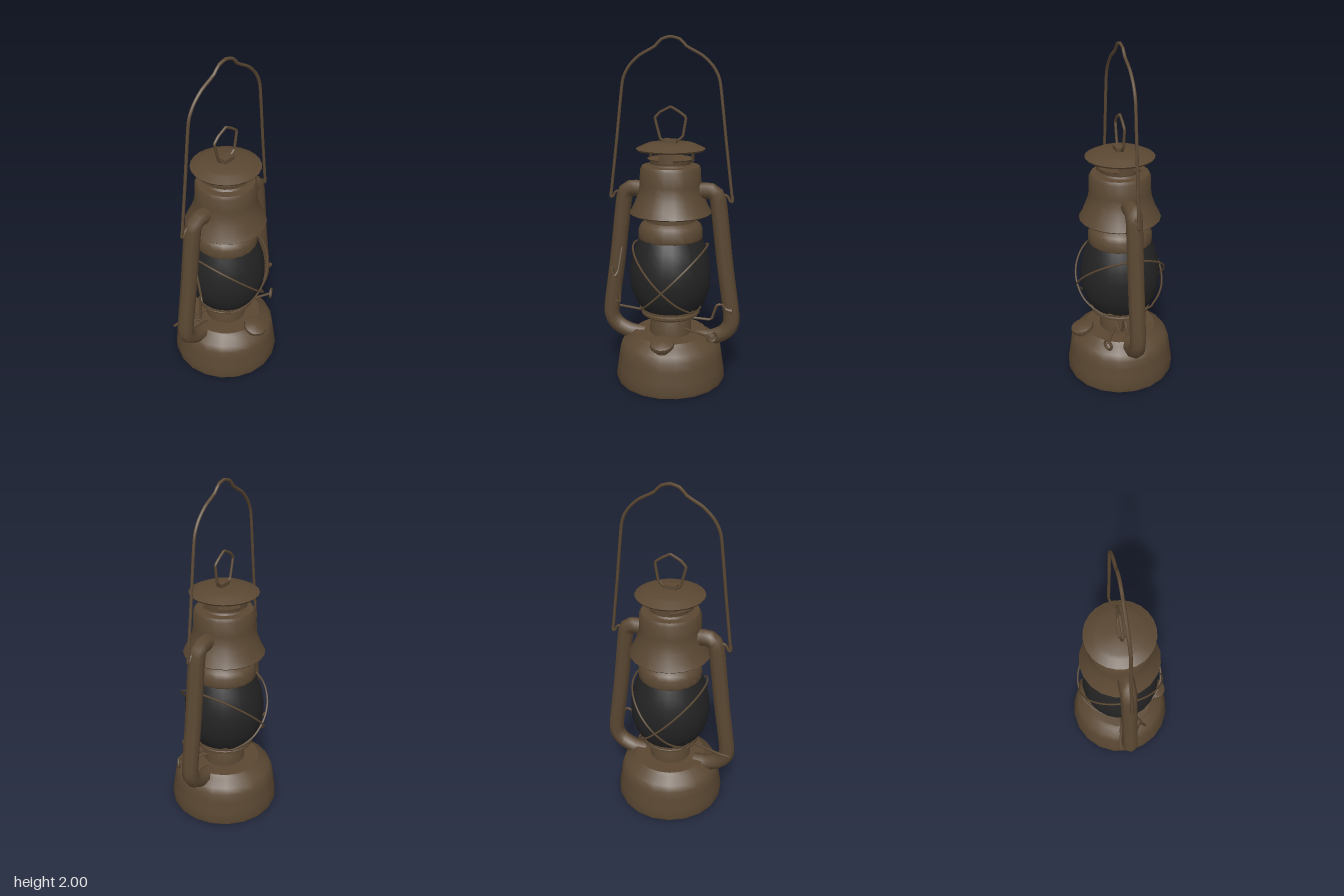
import * as THREE from 'three';
import { toCreasedNormals } from 'three/addons/utils/BufferGeometryUtils.js';

const metal = new THREE.MeshStandardMaterial({ color: 0x5a4732 });
metal.name = 'aged brown metal';
const glass = new THREE.MeshStandardMaterial({ color: 0x232323 });
glass.name = 'dark glass';

const V = (p) => new THREE.Vector3(...p);

export function createModel() {
  const root = new THREE.Group();
  root.name = 'lantern';

  const add = (name, geo, mat = metal) => {
    const m = new THREE.Mesh(geo, mat);
    m.name = name;
    root.add(m);
    return m;
  };
  // Turned part from [radius, height] pairs, listed bottom to top
  const turned = (name, pts, mat, seg = 20) => add(name, toCreasedNormals(
    new THREE.LatheGeometry(pts.map((p) => new THREE.Vector2(...p)), seg), 0.6), mat);
  // Bent wire or pipe following straight runs with soft corners
  const pipe = (name, pts, r, sides = 6, steps = 48, closed = false, tension = 0.3) => add(name,
    new THREE.TubeGeometry(new THREE.CatmullRomCurve3(pts.map(V), closed, 'catmullrom', tension),
      steps, r, sides, closed));

  // Fuel tank and burner neck
  turned('fuelTank', [[0, 0.02], [0.3, 0.012], [0.322, 0], [0.327, 0.02], [0.318, 0.08],
    [0.308, 0.15], [0.3, 0.2], [0.28, 0.235], [0.235, 0.265], [0.215, 0.285], [0, 0.285]]);
  turned('burnerNeck', [[0.125, 0.27], [0.122, 0.34], [0.105, 0.385], [0.1, 0.41]]);
  turned('globeSeat', [[0, 0.395], [0.155, 0.395], [0.175, 0.408], [0.175, 0.422], [0.165, 0.428],
    [0.182, 0.435], [0.182, 0.445], [0, 0.445]]);

  // Glass globe
  const globe = [[0.172, 0.44], [0.205, 0.49], [0.228, 0.55], [0.237, 0.62], [0.235, 0.68],
    [0.224, 0.75], [0.205, 0.81], [0.182, 0.865]];
  turned('globe', globe, glass, 24);

  // Globe holder, hood and chimney
  turned('globeHolder', [[0, 0.858], [0.182, 0.858], [0.188, 0.87], [0.185, 0.92], [0.172, 0.945],
    [0.145, 0.965], [0.142, 1.03]]);
  turned('hood', [[0.142, 1.02], [0.23, 1.008], [0.237, 1.015], [0.215, 1.055], [0.197, 1.1],
    [0.182, 1.14], [0.177, 1.18], [0.175, 1.265], [0.165, 1.283], [0.125, 1.286],
    [0.115, 1.295], [0.118, 1.318], [0.133, 1.325], [0, 1.325]]);

  // Four curved vent posts with gaps on the diagonals
  const half = 0.31;
  for (let i = 0; i < 4; i++) {
    const post = add('ventPost', new THREE.LatheGeometry(
      [[0.122, 1.31], [0.134, 1.31], [0.134, 1.385], [0.122, 1.385], [0.122, 1.31]]
        .map((p) => new THREE.Vector2(...p)), 4, i * Math.PI / 2 - half, half * 2));
    post.geometry = toCreasedNormals(post.geometry, 0.6);
  }
  turned('topCap', [[0, 1.368], [0.14, 1.368], [0.19, 1.37], [0.197, 1.38], [0.15, 1.402],
    [0.13, 1.41], [0, 1.413]], metal, 24);
  add('loopBracket', new THREE.BoxGeometry(0.075, 0.03, 0.045)).position.set(0, 1.42, 0.008);

  // Finger loop on the cap
  pipe('fingerLoop', [[-0.03, 1.415, 0], [-0.06, 1.435, 0], [-0.09, 1.55, 0], [-0.06, 1.583, 0],
    [0, 1.613, 0], [0.05, 1.585, 0], [0.088, 1.555, 0], [0.07, 1.45, 0], [0.03, 1.415, 0]],
  0.008, 6, 48, false, 0.05);

  // Side air tubes and handle pivots, mirrored
  for (const s of [-1, 1]) {
    pipe('sideTube', [[0.14, 1.14], [0.225, 1.145], [0.262, 1.125], [0.278, 1.07], [0.32, 0.72],
      [0.362, 0.42], [0.358, 0.345], [0.32, 0.295], [0.25, 0.262], [0.16, 0.25]]
      .map(([x, y]) => [s * x, y, 0]), 0.048, 8, 36, false, 0.4);
    pipe('handleHook', [[0.27, 1.13, 0], [0.325, 1.12, 0], [0.343, 1.09, 0], [0.358, 1.087, 0],
      [0.356, 1.12, 0]].map(([x, y, z]) => [s * x, y, z]), 0.008, 6, 16);
  }

  // Carrying handle
  const side = [[0.356, 1.09], [0.315, 1.42], [0.275, 1.75], [0.235, 1.835], [0.175, 1.892],
    [0.09, 1.938], [0.055, 1.975]];
  pipe('carryHandle', [...side.map(([x, y]) => [-x, y, 0]), [0, 1.991, 0],
    ...side.slice().reverse().map(([x, y]) => [x, y, 0])], 0.009, 6, 80);

  // Two crossed guard wires wrapped round the globe
  const radiusAt = (y) => {
    let i = 0;
    while (i < globe.length - 2 && globe[i + 1][1] < y) i++;
    const [a, b] = [globe[i], globe[i + 1]];
    return THREE.MathUtils.lerp(a[0], b[0], (y - a[1]) / (b[1] - a[1]));
  };
  for (const s of [-1, 1]) {
    const loop = [];
    for (let i = 0; i < 24; i++) {
      const a = (i / 24) * Math.PI * 2;
      const x = -0.03 - 0.185 * Math.cos(a);
      const y = 0.635 + 0.185 * Math.cos(a);
      const r = radiusAt(y) + 0.012 + 0.016 * Math.abs(Math.sin(a));
      const z = Math.sqrt(Math.max(r * r - x * x, 0.0004)) * Math.sign(Math.sin(a) + 1e-9);
      loop.push([s * x, y, i % 12 === 0 ? 0 : z]);
    }
    pipe('guardWire', loop, 0.006, 5, 96, true, 0.5);
  }

  // Globe lifting rod, crank and latch wire
  pipe('liftRod', [[-0.4, 0.395, -0.065], [-0.32, 0.395, -0.055], [0, 0.395, 0.03],
    [0.245, 0.395, 0.06], [0.265, 0.43, 0.06], [0.285, 0.485, 0.062], [0.315, 0.495, 0.062],
    [0.335, 0.465, 0.06], [0.37, 0.455, 0.06]], 0.008, 6, 50, false, 0.2);
  const rodKnob = add('rodEnd', new THREE.CylinderGeometry(0.014, 0.014, 0.016, 8));
  rodKnob.position.set(0.366, 0.455, 0.06);
  rodKnob.rotation.z = Math.PI / 2;
  pipe('latchWire', [[-0.33, 0.465, 0.04], [-0.295, 0.465, 0.06], [-0.3, 0.62, 0.07],
    [-0.335, 0.69, 0.09], [-0.32, 0.63, 0.1], [-0.3, 0.66, 0.075], [-0.285, 0.8, 0.03]],
  0.007, 6, 40, false, 0.2);

  // Wick adjuster with ring grip
  pipe('wickRod', [[0.08, 0.325, 0.05], [0.17, 0.325, 0.1], [0.265, 0.325, 0.148]], 0.008, 6, 6);
  const grip = add('wickGrip', new THREE.TorusGeometry(0.028, 0.008, 6, 12));
  grip.position.set(0.27, 0.327, 0.15);
  grip.rotation.y = 0.5;

  // Tilted filler cap
  const filler = turned('fillerCap', [[0.045, -0.08], [0.045, 0], [0.066, 0.004], [0.07, 0.012],
    [0.068, 0.03], [0.055, 0.037], [0, 0.04]], metal, 14);
  filler.position.set(0, 0.277, 0.235);
  filler.rotation.x = 0.28;

  return root;
}
